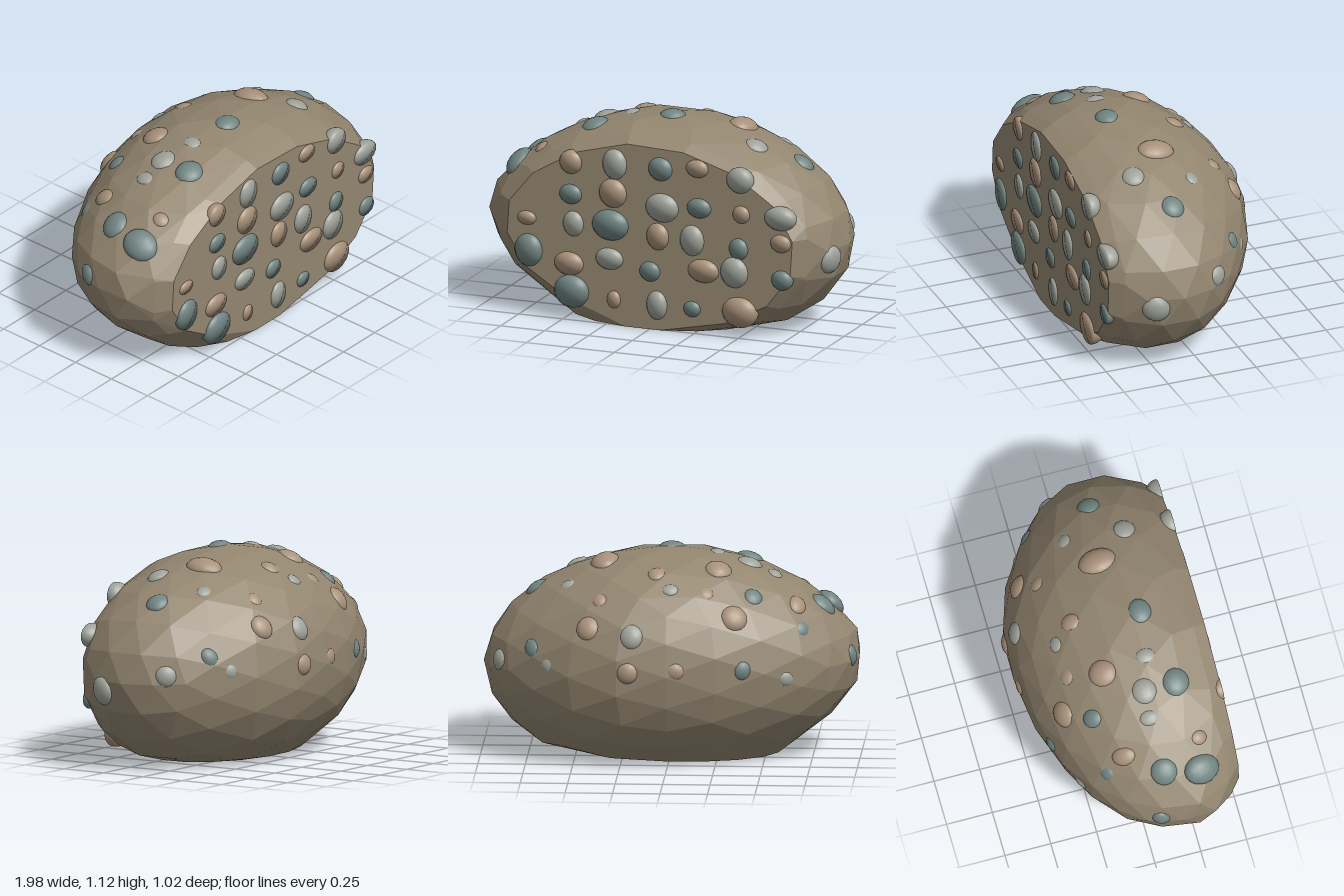
import * as THREE from 'three';
import { ConvexGeometry } from 'three/addons/geometries/ConvexGeometry.js';

const CENTRE = new THREE.Vector3(0, 0.52, 0.15);
const RADII = new THREE.Vector3(0.99, 0.585, 0.645);
const FRONT = 0.51;                                  // plane of the cut front face
const CUT = (FRONT - CENTRE.z) / RADII.z;

const material = (color) => new THREE.MeshStandardMaterial({ color });

// Unit sphere point to the slightly lopsided boulder surface
function shell(u) {
  const p = u.clone().multiply(RADII).add(CENTRE);
  const left = Math.max(-u.x, 0), right = Math.max(u.x, 0);
  const back = Math.max(-u.z, 0), front = Math.max(u.z, 0);
  p.y -= 0.04 * right * (1 - Math.min(u.y, 0)) + 0.1 * left * left * Math.max(u.y, 0);
  p.z += back * (0.06 * left - 0.1 * right * Math.max(1 - 3.5 * right * right, -0.5));
  p.x -= 0.5 * left * front * Math.max(CUT - u.z, 0);
  p.y = Math.max(p.y, 0);
  return p;
}

// Faceted boulder, cut flat at the front and underneath
function boulder() {
  const points = [];
  const pos = new THREE.IcosahedronGeometry(1, 3).attributes.position;
  for (let i = 0; i < pos.count; i++) {
    const u = new THREE.Vector3().fromBufferAttribute(pos, i);
    if (u.z < CUT - 0.06 && u.y > -0.82) points.push(shell(u));
  }
  for (let i = 0; i < 16; i++) {
    const a = (i + 0.4) / 16 * Math.PI * 2, c = Math.cos(a), s = Math.sin(a);
    for (const z of [CUT, CUT - 0.1]) {
      const r = Math.sqrt(1 - z * z);
      points.push(shell(new THREE.Vector3(r * c, r * s, z)));
    }
    points.push(new THREE.Vector3(0.51 * c - 0.06, 0, Math.min(FRONT, 0.19 + 0.33 * s)));
  }
  const mesh = new THREE.Mesh(new ConvexGeometry(points), material(0x938670));
  mesh.material.flatShading = true;
  mesh.name = 'boulder';
  return mesh;
}

const COLORS = { tan: 0xa8917a, grey: 0x9fa39a, teal: 0x718582 };

// Pebbles sliced by the front face: x, y, half width, half height
const FACE = {
  tan: [[-0.45, 0.865, 0.065, 0.065], [0.27, 0.905, 0.065, 0.05], [-0.21, 0.72, 0.08, 0.08],
    [0.52, 0.68, 0.05, 0.05], [-0.7, 0.535, 0.055, 0.04], [0.045, 0.51, 0.065, 0.075],
    [0.745, 0.545, 0.06, 0.05], [-0.46, 0.31, 0.085, 0.065], [0.305, 0.35, 0.09, 0.065],
    [-0.205, 0.14, 0.04, 0.05], [0.51, 0.145, 0.1, 0.085]],
  grey: [[-0.2, 0.88, 0.07, 0.085], [0.51, 0.865, 0.075, 0.07], [0.07, 0.67, 0.095, 0.08],
    [0.74, 0.68, 0.09, 0.065], [-0.435, 0.53, 0.06, 0.07], [0.24, 0.51, 0.07, 0.085],
    [-0.23, 0.36, 0.08, 0.06], [0.48, 0.36, 0.08, 0.085], [0.04, 0.135, 0.06, 0.08]],
  teal: [[0.06, 0.88, 0.07, 0.065], [-0.45, 0.69, 0.065, 0.055], [0.28, 0.69, 0.07, 0.055],
    [-0.225, 0.545, 0.105, 0.085], [0.505, 0.49, 0.055, 0.06], [-0.69, 0.36, 0.08, 0.09],
    [0, 0.315, 0.06, 0.055], [0.75, 0.345, 0.06, 0.055], [-0.445, 0.16, 0.1, 0.09],
    [0.24, 0.135, 0.05, 0.045]],
};

// Pebbles bedded in the rounded shell: x, z, two half sizes, and height for those low on the sides
const SHELL = {
  tan: [[-0.67, 0.33, 0.045, 0.05], [-0.68, -0.105, 0.055, 0.07],
    [-0.26, -0.095, 0.075, 0.08], [-0.2, -0.28, 0.05, 0.05], [0.06, -0.175, 0.055, 0.06],
    [-0.355, -0.35, 0.075, 0.075], [0.42, -0.36, 0.065, 0.07], [0.36, -0.27, 0.045, 0.05],
    [0.35, 0.055, 0.08, 0.105], [0.21, -0.49, 0.06, 0.06, 0.55], [-0.05, -0.5, 0.055, 0.05, 0.55]],
  grey: [[-0.55, 0.09, 0.05, 0.06], [-0.415, 0.1, 0.075, 0.07], [-0.245, 0.155, 0.05, 0.06],
    [-0.015, -0.28, 0.05, 0.045], [0.185, -0.435, 0.065, 0.07], [0.54, -0.08, 0.05, 0.045],
    [0.5, 0.245, 0.07, 0.065], [0.92, -0.105, 0.06, 0.06, 0.565], [0.95, 0.3, 0.08, 0.075, 0.465],
    [0.65, -0.355, 0.05, 0.05, 0.57], [-0.63, -0.34, 0.05, 0.045, 0.48]],
  teal: [[-0.97, 0.03, 0.06, 0.05, 0.55], [-0.81, 0.1, 0.08, 0.075], [-0.81, 0.31, 0.085, 0.1],
    [-0.395, 0.28, 0.08, 0.075], [0, 0.19, 0.075, 0.065], [-0.71, -0.215, 0.05, 0.05],
    [-0.45, -0.215, 0.055, 0.06], [0.72, -0.265, 0.05, 0.06, 0.65], [0.715, 0.1, 0.07, 0.065],
    [-0.4, -0.43, 0.05, 0.055, 0.545]],
};

// Smooth pebble trimmed flush with the front face
function facePebble([x, y, w, h], color) {
  const geo = new THREE.IcosahedronGeometry(1, 4);
  geo.scale(w, h, 0.45 * (w + h)).translate(x, y, FRONT - 0.01);
  const pos = geo.attributes.position;
  for (let i = 0; i < pos.count; i++) pos.setZ(i, Math.min(pos.getZ(i), FRONT + 0.003));
  const mesh = new THREE.Mesh(geo, color);
  mesh.name = 'facePebble';
  return mesh;
}

// Smooth pebble lying flat along the shell
function shellPebble([x, z, a, b, y], color) {
  const u = new THREE.Vector3(x, 0, z - CENTRE.z).divide(RADII);
  u.y = y ? (y - CENTRE.y) / RADII.y : Math.sqrt(Math.max(0, 1 - u.lengthSq()));
  u.normalize();
  const normal = u.clone().divide(RADII).normalize();
  const mesh = new THREE.Mesh(new THREE.IcosahedronGeometry(1, 2), color);
  mesh.scale.set(a, 0.3 * (a + b), b);
  mesh.quaternion.setFromUnitVectors(new THREE.Vector3(0, 1, 0), normal);
  mesh.position.copy(shell(u)).addScaledVector(normal, -0.026);
  mesh.name = 'shellPebble';
  return mesh;
}

export function createModel() {
  const model = new THREE.Group();
  model.name = 'pebbleStone';
  model.add(boulder());
  for (const [name, hex] of Object.entries(COLORS)) {
    const group = new THREE.Group(), color = material(hex);
    group.name = name + 'Pebbles';
    FACE[name].forEach((p) => group.add(facePebble(p, color)));
    SHELL[name].forEach((p) => group.add(shellPebble(p, color)));
    model.add(group);
  }
  return model;
}
